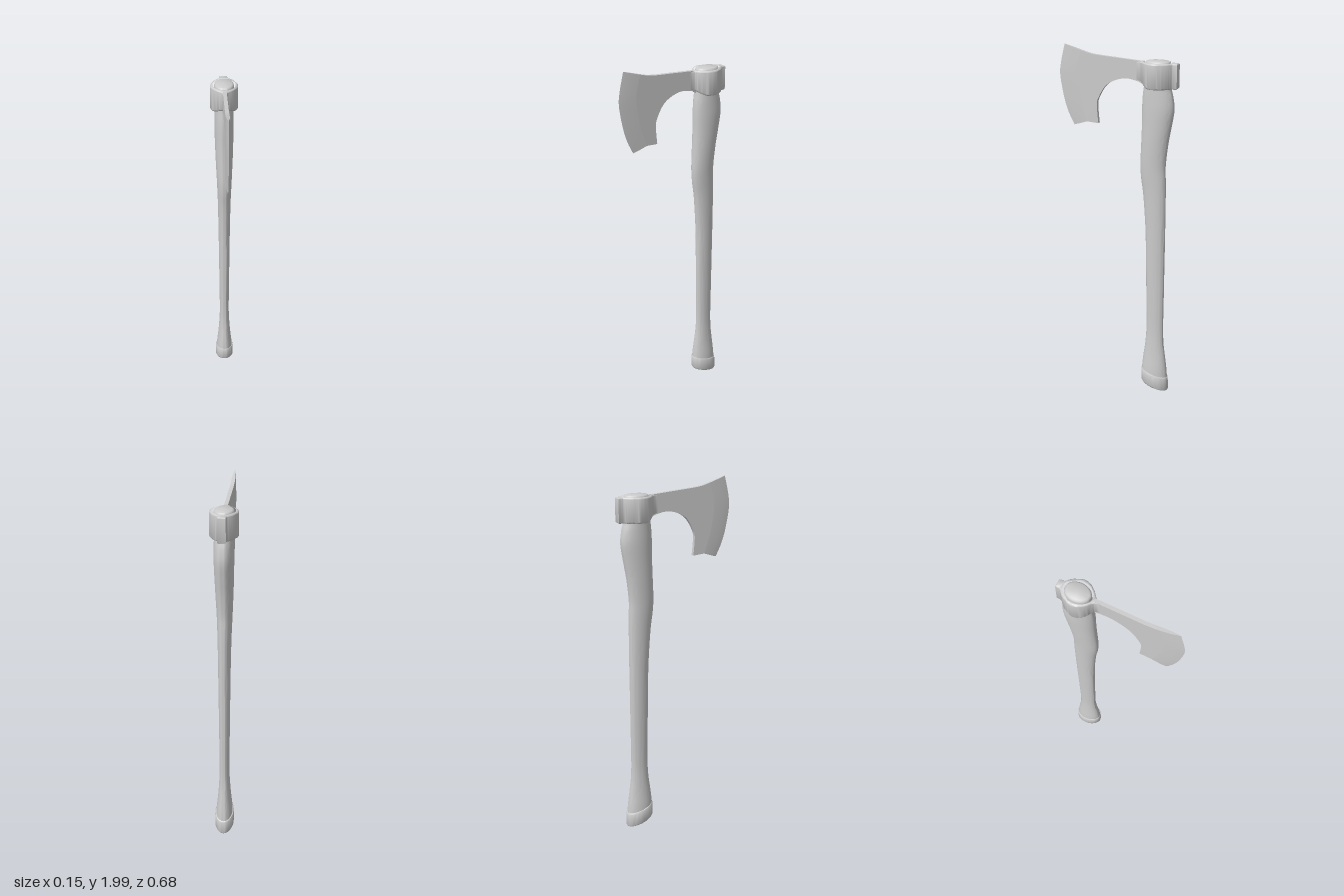
import * as THREE from 'three';
import { toCreasedNormals } from 'three/addons/utils/BufferGeometryUtils.js';

const V3 = (x, y, z) => new THREE.Vector3(x, y, z);
const spline = (pts, n) => new THREE.SplineCurve(pts.map(p => new THREE.Vector2(...p))).getPoints(n);

// Skin a list of equal-length rows (bottom to top) with triangles.
function skin(rows, crease) {
  const pos = [];
  const tri = (...t) => {
    if (t[0].equals(t[1]) || t[1].equals(t[2]) || t[0].equals(t[2])) return;
    t.forEach(p => pos.push(p.x, p.y, p.z));
  };
  for (let i = 0; i < rows.length - 1; i++) {
    for (let j = 0; j < rows[i].length - 1; j++) {
      const a = rows[i][j], b = rows[i][j + 1], c = rows[i + 1][j], d = rows[i + 1][j + 1];
      tri(a, c, b);
      tri(c, d, b);
    }
  }
  const g = new THREE.BufferGeometry();
  g.setAttribute('position', new THREE.Float32BufferAttribute(pos, 3));
  return toCreasedNormals(g, crease);
}

// Oval ring around the haft; tilt slopes it along z.
function oval(y, zc, rz, rx, tilt = 0) {
  const ring = [];
  for (let j = 0; j <= 40; j++) {
    const a = (j % 40) / 40 * Math.PI * 2;
    const z = Math.sin(a) * rz;
    ring.push(V3(Math.cos(a) * rx, y + z * tilt, zc + z));
  }
  return ring;
}

function haftGeometry() {
  // height, front z, back z, half width
  const sections = [
    [0.07, -0.155, -0.312, 0.049], [0.14, -0.157, -0.306, 0.046], [0.22, -0.165, -0.296, 0.038],
    [0.3, -0.175, -0.286, 0.032], [0.4, -0.18, -0.281, 0.028], [0.6, -0.177, -0.281, 0.029],
    [0.8, -0.172, -0.281, 0.031], [1.0, -0.167, -0.281, 0.033], [1.2, -0.152, -0.28, 0.036],
    [1.3, -0.138, -0.278, 0.039], [1.38, -0.133, -0.276, 0.042], [1.5, -0.137, -0.288, 0.047],
    [1.6, -0.14, -0.305, 0.05], [1.69, -0.14, -0.318, 0.052], [1.76, -0.143, -0.31, 0.051],
    [1.82, -0.15, -0.295, 0.05], [1.93, -0.155, -0.293, 0.052]
  ];
  const centre = new THREE.CatmullRomCurve3(
    sections.map(([y, f, b]) => V3((f + b) / 2, y, (f - b) / 2)), false, 'catmullrom');
  const width = new THREE.CatmullRomCurve3(
    sections.map(([y, , , x]) => V3(x, y, 0)), false, 'catmullrom');
  const rows = [];
  for (let i = 0; i <= 64; i++) {
    const c = centre.getPoint(i / 64);
    rows.push(oval(c.y, c.x, c.z, width.getPoint(i / 64).x));
  }
  // softly domed end showing in the eye
  rows.push(oval(1.939, -0.224, 0.066, 0.049), oval(1.943, -0.224, 0.058, 0.042), oval(1.946, -0.224, 0, 0));
  return skin(rows, 0.9);
}

function collarGeometry() {
  const s = 0.28;
  return skin([
    oval(0.024, -0.236, 0, 0, s), oval(0.024, -0.238, 0.066, 0.04, s), oval(0.027, -0.237, 0.077, 0.05, s),
    oval(0.036, -0.236, 0.082, 0.054, s), oval(0.106, -0.234, 0.081, 0.055, s),
    oval(0.112, -0.234, 0.078, 0.052, s), oval(0.113, -0.234, 0.068, 0.042, s)
  ], 0.9);
}

function socketGeometry() {
  // half plan from poll to blade: x, z
  const half = [[0.014, -0.327], [0.016, -0.308], [0.027, -0.292], [0.045, -0.268], [0.063, -0.24],
    [0.066, -0.215], [0.058, -0.19], [0.037, -0.163], [0.017, -0.145], [0.006, -0.13], [0.003, -0.115]];
  const side = spline(half.map(([x, z]) => [x, -z]), 40);
  const mirror = side.map(p => new THREE.Vector2(-p.x, p.y)).reverse();
  const shape = new THREE.Shape([...side, ...mirror]);
  const hole = new THREE.Path();
  hole.absellipse(0, 0.224, 0.06, 0.078, 0, Math.PI * 2, true);
  shape.holes.push(hole);
  const g = new THREE.ExtrudeGeometry(shape, {
    depth: 0.118, bevelThickness: 0.008, bevelSize: 0.008, bevelSegments: 4, curveSegments: 40
  });
  g.rotateX(-Math.PI / 2).translate(0, 1.81, 0);
  // the lower rim climbs into the blade's arch
  const p = g.attributes.position;
  for (let i = 0; i < p.count; i++) {
    const k = THREE.MathUtils.smoothstep(p.getZ(i), -0.19, -0.12);
    if (p.getY(i) < 1.87) p.setY(i, p.getY(i) + 0.03 * k);
  }
  return toCreasedNormals(g, 0.8);
}

// Blade curves as z, y from the beard to the toe
const EDGE = spline([[0.26, 1.56], [0.295, 1.63], [0.32, 1.71], [0.34, 1.825], [0.335, 1.895], [0.31, 2.0]], 24);
const BEVEL = spline([[0.18, 1.587], [0.2, 1.645], [0.22, 1.71], [0.238, 1.82], [0.235, 1.89], [0.21, 1.971]], 24);

function bladeGeometry() {
  const arch = spline([[-0.145, 1.815], [-0.115, 1.83], [-0.05, 1.84], [0.015, 1.825], [0.07, 1.79],
    [0.11, 1.725], [0.12, 1.68], [0.112, 1.583]], 40);
  const top = spline([[0.21, 1.971], [0.14, 1.955], [0, 1.945], [-0.145, 1.935]], 16).slice(1);
  const g = new THREE.ExtrudeGeometry(new THREE.Shape([...arch, ...BEVEL, ...top]),
    { depth: 0.02, bevelEnabled: false });
  g.rotateY(-Math.PI / 2).translate(0.01, 0, 0);
  return toCreasedNormals(g, 0.6);
}

function cuttingEdgeGeometry() {
  const rows = EDGE.map((e, i) => {
    const b = BEVEL[i];
    const m = b.clone().lerp(e, 0.6);
    return [V3(0.01, b.y, b.x), V3(0.0065, m.y, m.x), V3(0, e.y, e.x),
      V3(-0.0065, m.y, m.x), V3(-0.01, b.y, b.x)];
  });
  // close both ends onto the bevel line
  const cap = b => Array.from({ length: 5 }, () => V3(0, b.y, b.x));
  return skin([cap(BEVEL[0]), ...rows, cap(BEVEL[24])], 0.5);
}

export function createModel() {
  const grey = new THREE.MeshStandardMaterial({ color: 0xcccccc });
  grey.name = 'plainGrey';
  const model = new THREE.Group();
  model.name = 'axe';
  const parts = {
    haft: haftGeometry(),
    endCollar: collarGeometry(),
    socket: socketGeometry(),
    blade: bladeGeometry(),
    cuttingEdge: cuttingEdgeGeometry()
  };
  for (const [name, geometry] of Object.entries(parts)) {
    const mesh = new THREE.Mesh(geometry, grey);
    mesh.name = name;
    model.add(mesh);
  }
  return model;
}
